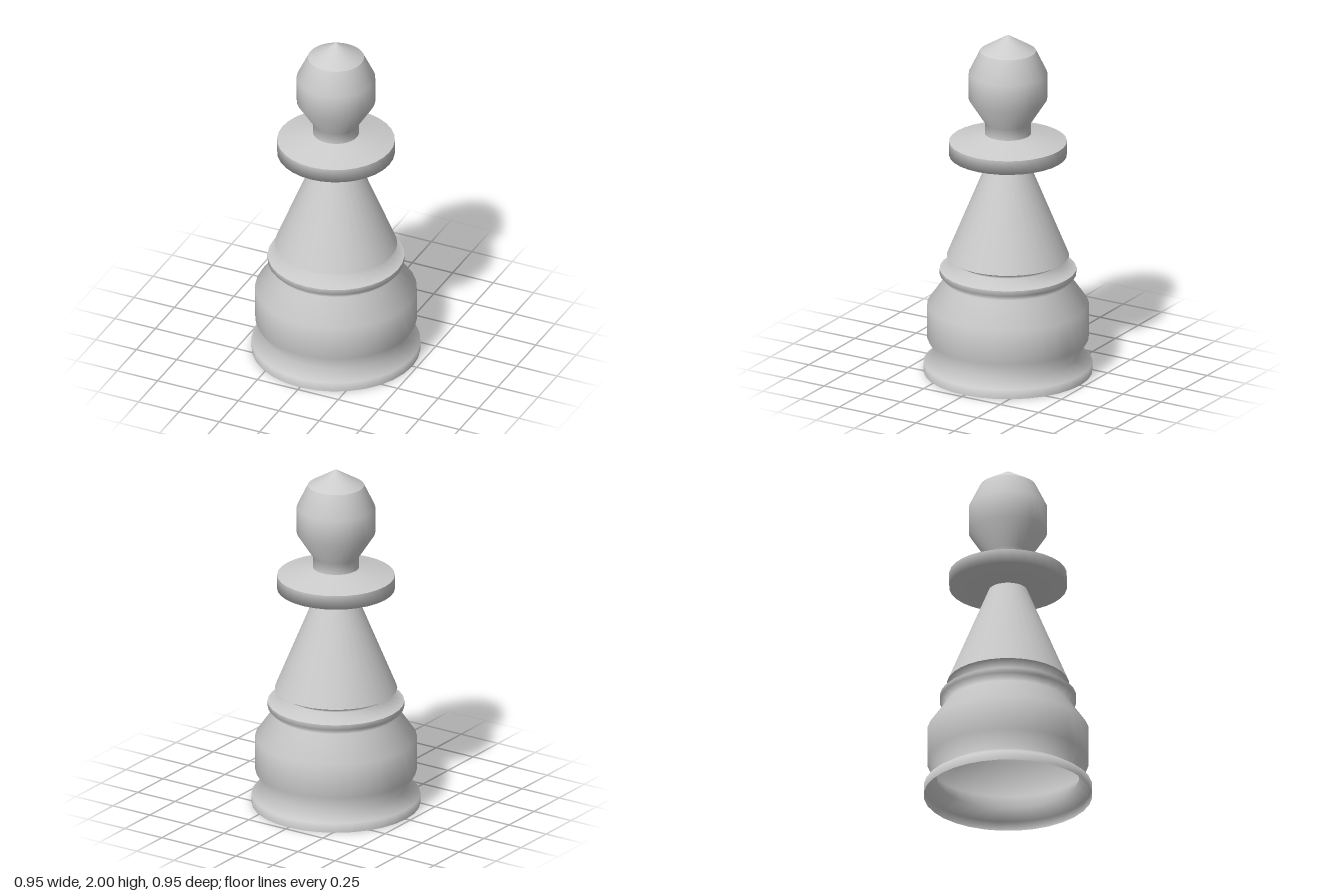
import * as THREE from 'three';

const SEGMENTS = 32;

export function createModel() {
  const group = new THREE.Group();
  const material = new THREE.MeshStandardMaterial({ color: 0xcccccc, side: THREE.DoubleSide });

  // Turned section from [radius, height] points, listed bottom to top
  function turned(name, profile) {
    const points = profile.map(([r, y]) => new THREE.Vector2(r, y));
    const mesh = new THREE.Mesh(new THREE.LatheGeometry(points, SEGMENTS), material);
    mesh.name = name;
    group.add(mesh);
  }

  // Hollow base, open underneath: foot rim, waist and wide drum
  turned('base', [
    [0.473, 0], [0.473, 0.055], [0.398, 0.105],
    [0.453, 0.2], [0.453, 0.4], [0.352, 0.545], [0.383, 0.58], [0.383, 0.61],
  ]);

  // Sloping shoulder above the base
  turned('shoulder', [[0.383, 0.61], [0.27, 0.645], [0.343, 0.687]]);

  // Tapering stem
  turned('stem', [[0.343, 0.687], [0.108, 1.262]]);

  // Wide collar: underside and edge, then its sloped top
  turned('collar', [[0.108, 1.262], [0.33, 1.285], [0.33, 1.366]]);
  turned('collarTop', [[0.33, 1.366], [0.13, 1.415]]);

  // Neck and round head
  turned('head', [
    [0.13, 1.415], [0.13, 1.48], [0.22, 1.62], [0.22, 1.775], [0.157, 1.905],
  ]);

  // Pointed crown
  turned('crown', [[0.157, 1.905], [0, 2]]);

  return group;
}
